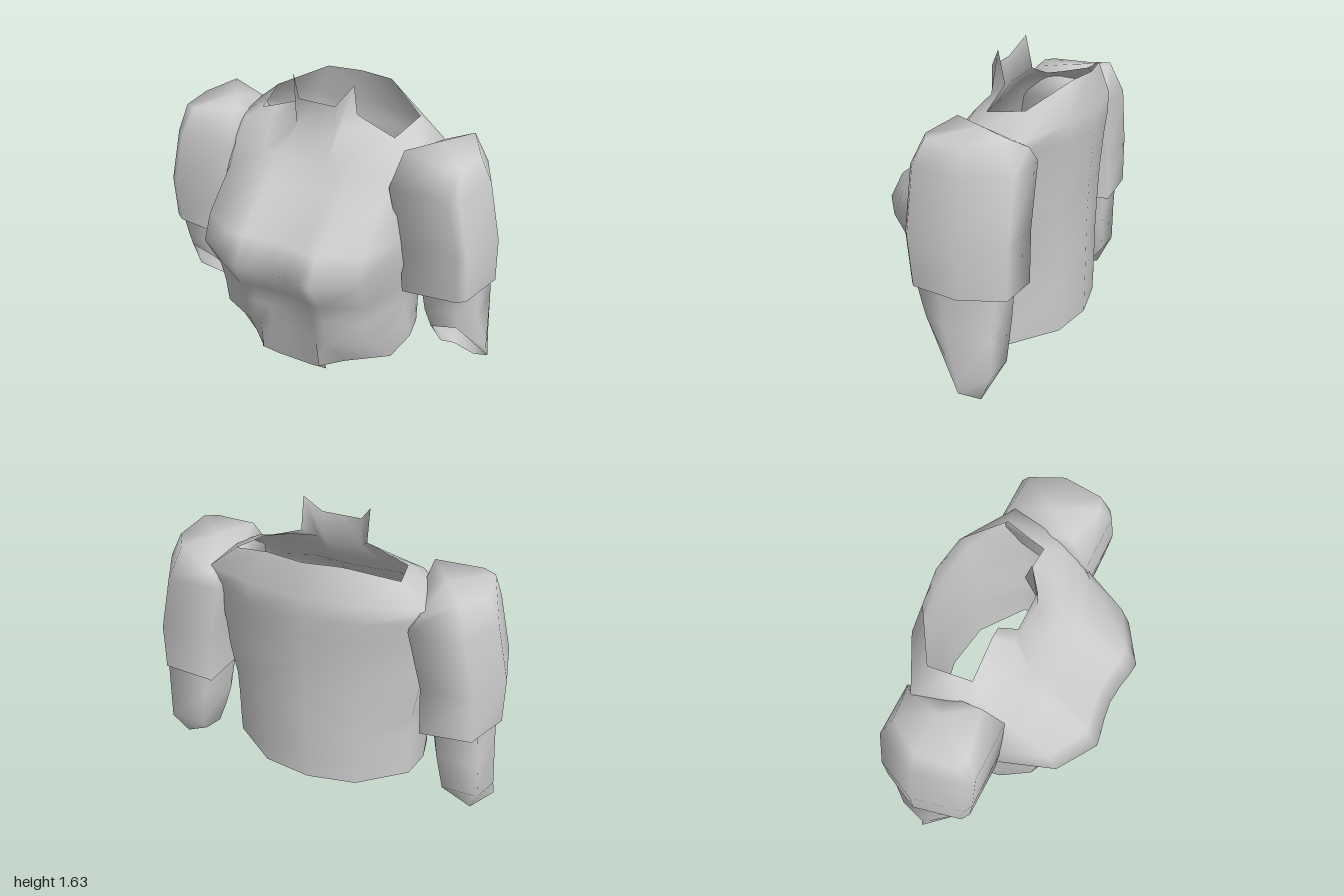
import * as THREE from 'three';
import { mergeVertices } from 'three/addons/utils/BufferGeometryUtils.js';

const steel = new THREE.MeshStandardMaterial({ color: 0xcccccc, side: THREE.DoubleSide });
steel.name = 'paleGrey';

const lerp = THREE.MathUtils.lerp;

// Smooth skin through closed rings of points, listed bottom to top
function loft(name, rings, skip = () => false) {
  const n = rings[0].length, index = [];
  for (let r = 0; r < rings.length - 1; r++) {
    for (let i = 0; i < n; i++) {
      if (skip(r, i)) continue;
      const a = r * n + i, b = r * n + (i + 1) % n;
      index.push(a, b, b + n, a, b + n, a + n);
    }
  }
  let geo = new THREE.BufferGeometry();
  geo.setAttribute('position', new THREE.Float32BufferAttribute(rings.flat(2), 3));
  geo.setIndex(index);
  geo = mergeVertices(geo, 1e-4);
  geo.computeVertexNormals();
  const mesh = new THREE.Mesh(geo, steel);
  mesh.name = name;
  return mesh;
}

const flip = (ring) => ring.map(([x, y, z]) => [-x, y, z]).reverse();

// Torso: half rings from centre front, round the left side, to centre back
function torso() {
  const front = [[0, 0.94], [0.19, 0.96], [0.324, 0.985], [0.324, 0.985], [0.45, 1], [0.82, 0.78]];
  // height, front depth, half width, back depth, fullness of the back corners, forwardness of the sides
  const levels = [
    [0.25, 0.34, 0.555, -0.52, 0, 0.08], [0.41, 0.375, 0.555, -0.52, 0, 0.16], [0.54, 0.42, 0.56, -0.52, 0, 0.23],
    [0.74, 0.555, 0.59, -0.52, 0.1, 0.31], [0.89, 0.48, 0.585, -0.525, 0.3, 0.31],
    [1.1, 0.22, 0.575, -0.54, 0.7, 0.31], [1.22, 0.11, 0.585, -0.55, 1, 0.31],
  ].map(([y, f, w, b, k, s]) => [
    ...[...front, [1, s]].map(([x, z]) => [x * w, y, -0.1 + (f + 0.1) * z]),
    [w * lerp(0.94, 1, k), y, b * lerp(0.55, 0.67, k)],
    [w * 0.5, y, b * lerp(0.915, 0.945, k)],
    [0, y, b],
  ]);
  // lower hem with a loose centre flap
  const hem = [[0, 0, 0.265], [0.11, 0, 0.265], [0.215, 0.01, 0.265], [0.185, 0.04, 0.3], [0.3, 0.055, 0.2],
    [0.52, 0.08, 0.06], [0.555, 0.12, -0.12], [0.52, 0.12, -0.285], [0.27, 0.12, -0.475], [0, 0.12, -0.52]];
  // collar base and shoulders
  const shoulder = [[0, 1.37, 0], [0.11, 1.37, 0], [0.13, 1.37, -0.005], [0.13, 1.37, -0.005], [0.3, 1.34, 0],
    [0.47, 1.32, -0.03], [0.56, 1.3, -0.12], [0.6, 1.285, -0.37], [0.3, 1.33, -0.52], [0, 1.33, -0.555]];
  // neckline with two pointed collar tips
  const neck = [[0, 1.52, 0], [0.11, 1.52, 0], [0.185, 1.63, -0.07], [0.185, 1.45, -0.11], [0.3, 1.405, -0.11],
    [0.41, 1.365, -0.11], [0.425, 1.38, -0.2], [0.45, 1.41, -0.34], [0.2, 1.52, -0.49], [0, 1.52, -0.52]];
  const rings = [hem, ...levels, shoulder, neck].map((h) => [...h, ...flip(h.slice(1, -1))]);
  // slits beside the flap
  return loft('torso', rings, (r, i) => r < rings.length - 2 && (i === 2 || i === 15));
}

// Upper sleeve: one plan outline scaled at each height, closed by a cap with a diagonal ridge
function sleeveRings() {
  const plan = [[0, 1], [0.75, 1], [0.86, 0.94], [1, 0.42], [0.75, 0], [0.08, 0], [0, 0.55]];
  // height, inner drop, inner x, outer x, front z, back z
  const rings = [
    [0.6, 0.04, 0.58, 1.0, 0.08, -0.44], [0.86, 0, 0.57, 1.0, 0.11, -0.44],
    [1.19, 0, 0.49, 0.93, 0.11, -0.44],
  ].map(([y, drop, xi, xo, zf, zb]) =>
    plan.map(([u, v]) => [lerp(xi, xo, u), y - drop * (1 - u), lerp(zb, zf, v)]));
  const rim = [[0.52, 1.365, 0], [0.77, 1.34, 0.05], [0.84, 1.335, 0.02], [0.865, 1.33, -0.2],
    [0.76, 1.37, -0.37], [0.57, 1.27, -0.41], [0.51, 1.29, -0.2]];
  return [...rings, rim, plan.map(() => [0.64, 1.368, -0.185])];
}

// Forearm: open tube with a slanted wrist cut, long at the back
const forearmRings = [
  [[0.73, 0.33, 0], [0.88, 0.37, 0], [1, 0.08, -0.22], [0.89, 0, -0.295], [0.77, 0.045, -0.28], [0.71, 0.08, -0.22]],
  [[0.72, 0.37, 0.01], [0.885, 0.4, 0.01], [0.99, 0.14, -0.21], [0.94, 0.16, -0.37], [0.74, 0.16, -0.37], [0.67, 0.2, -0.2]],
  [[0.7, 0.45, 0.03], [0.89, 0.48, 0.03], [0.955, 0.4, -0.12], [0.93, 0.38, -0.375], [0.7, 0.38, -0.38], [0.63, 0.34, -0.19]],
  [[0.68, 0.66, 0.07], [0.9, 0.66, 0.07], [0.94, 0.66, -0.1], [0.91, 0.66, -0.39], [0.67, 0.66, -0.39], [0.61, 0.66, -0.2]],
];

export function createModel() {
  const model = new THREE.Group();
  model.name = 'chestArmour';
  model.add(torso());
  for (const side of ['left', 'right']) {
    const place = side === 'left' ? (r) => r : flip;
    model.add(loft(side + 'Sleeve', sleeveRings().map(place)));
    model.add(loft(side + 'Forearm', forearmRings.map(place)));
  }
  return model;
}
